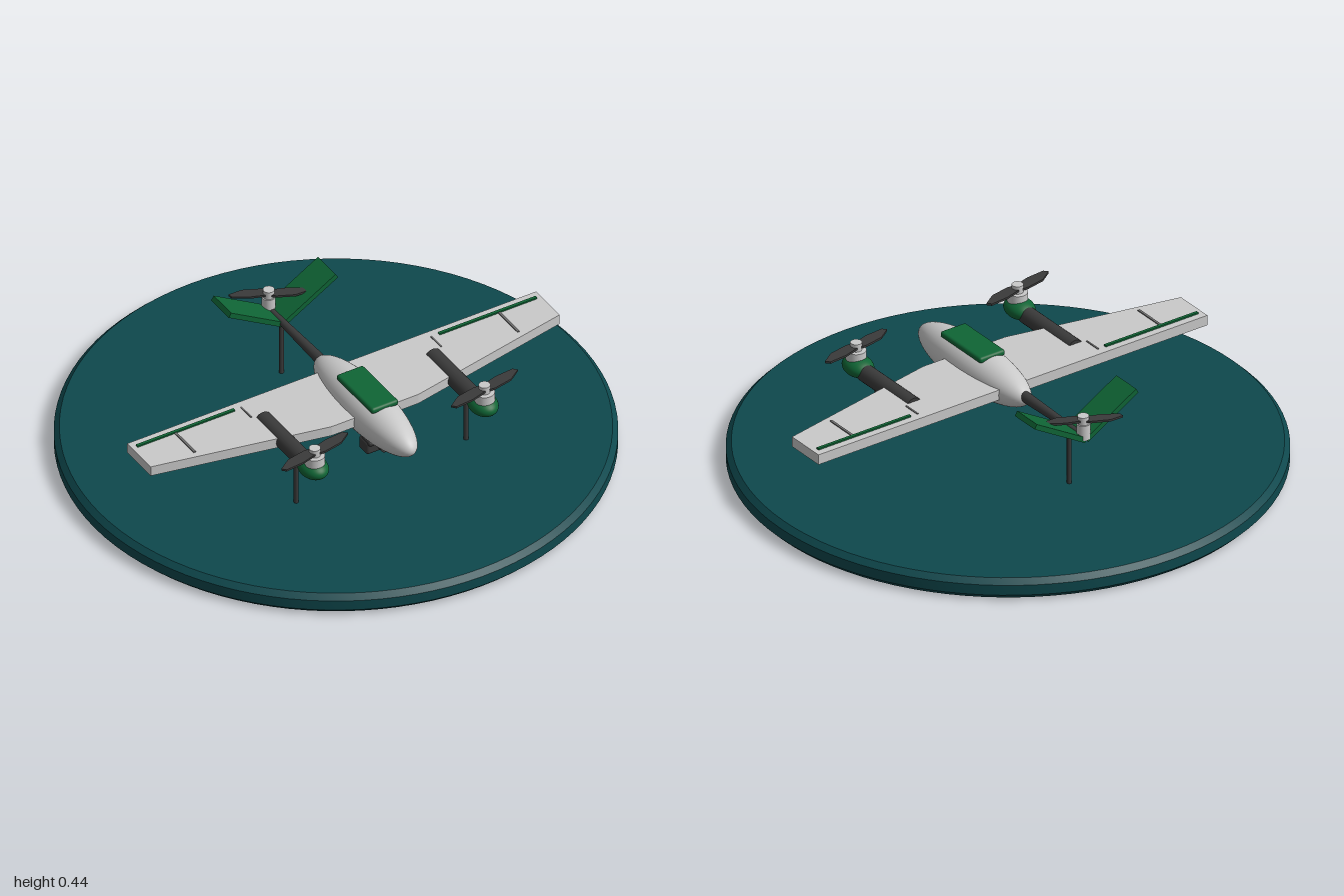
import * as THREE from 'three';
import { toCreasedNormals } from 'three/addons/utils/BufferGeometryUtils.js';
import { RoundedBoxGeometry } from 'three/addons/geometries/RoundedBoxGeometry.js';

const mat = (name, color, extra = {}) => {
  const m = new THREE.MeshStandardMaterial({ color, ...extra });
  m.name = name;
  return m;
};

export function createModel() {
  const root = new THREE.Group();
  root.name = 'drone';
  const teal = mat('standTeal', 0x0e484d);
  const white = mat('bodyGrey', 0xcacaca);
  const green = mat('trimGreen', 0x0f6535);
  const dark = mat('carbonDark', 0x3a3a3a);
  const seam = mat('seamGrey', 0x707070);
  const lensBlue = mat('lensBlue', 0x1c3a50);

  const add = (name, geo, material, x = 0, y = 0, z = 0, parent = root) => {
    const m = new THREE.Mesh(geo, material);
    m.name = name;
    m.position.set(x, y, z);
    parent.add(m);
    return m;
  };
  const ellipsoid = (rx, ry, rz) => new THREE.SphereGeometry(1, 40, 28).rotateX(Math.PI / 2).scale(rx, ry, rz);
  // Cylinder along z, rFront at the +z end
  const rod = (rFront, rBack, len) => new THREE.CylinderGeometry(rFront, rBack, len, 24).rotateX(Math.PI / 2);
  // Flat plan outline given as [x, z], extruded to a thickness centred on y = 0
  const slab = (pts, thickness) => {
    const shape = new THREE.Shape(pts.map(([x, z]) => new THREE.Vector2(x, z)));
    return new THREE.ExtrudeGeometry(shape, { depth: thickness, bevelEnabled: false })
      .rotateX(Math.PI / 2).translate(0, thickness / 2, 0);
  };

  // Round stand with bevelled rims
  const rim = [[0, 0], [0.98, 0], [1, 0.02], [1, 0.06], [0.98, 0.08], [0, 0.08]];
  const disc = new THREE.LatheGeometry(rim.map(([r, y]) => new THREE.Vector2(r, y)), 96);
  add('stand', toCreasedNormals(disc, 0.4), teal);

  // Fuselage, tail boom and hatch
  add('fuselage', ellipsoid(0.09, 0.088, 0.32), white, 0, 0.298, 0.2);
  add('tailBoom', rod(0.021, 0.012, 0.37), dark, 0, 0.307, -0.265);
  add('hatch', new RoundedBoxGeometry(0.112, 0.024, 0.245, 3, 0.01), green, 0, 0.378, 0.213);

  // Wing
  add('wing', slab([[-0.85, -0.03], [0.85, -0.03], [0.85, 0.13], [0.18, 0.265],
    [-0.18, 0.265], [-0.85, 0.13]], 0.04), white, 0, 0.3, 0);

  // Propeller: two swept blades and a hub
  const half = [[-0.005, 0.018], [-0.07, 0.037], [-0.143, 0.043], [-0.156, 0.028],
    [-0.107, -0.006], [-0.032, -0.021]];
  const bladeGeo = slab([...half, ...half.map(([x, z]) => [-x, -z])], 0.008);
  const hubGeo = new THREE.CylinderGeometry(0.021, 0.021, 0.03, 20);

  const rotor = (name, x, y, z, turn, scale, motorR, motorH) => {
    const g = new THREE.Group();
    g.name = name;
    g.position.set(x, y, z);
    root.add(g);
    add('motor', new THREE.CylinderGeometry(motorR, motorR, motorH, 28), white, 0, -0.014 - motorH / 2, 0, g);
    add('hub', hubGeo, white, 0, 0.002, 0, g);
    const blades = add('blades', bladeGeo, dark, 0, 0, 0, g);
    blades.rotation.y = turn;
    blades.scale.set(scale, 1, scale);
  };

  for (const s of [-1, 1]) {
    const side = s > 0 ? 'left' : 'right';

    // Motor arms, nacelles and rotors
    add(side + 'MotorArm', rod(0.033, 0.033, 0.3), dark, s * 0.353, 0.301, 0.23);
    add(side + 'Nacelle', ellipsoid(0.052, 0.037, 0.068), green, s * 0.353, 0.31, 0.418);
    rotor(side + 'Rotor', s * 0.353, 0.384, 0.43, 0, 1, 0.037, 0.04);

    // Wing trim strips and seams
    add(side + 'WingStripe', new THREE.BoxGeometry(0.405, 0.008, 0.012), green, s * 0.628, 0.322, 0.003);
    add(side + 'OuterSeam', new THREE.BoxGeometry(0.009, 0.006, 0.14), seam, s * 0.673, 0.321, 0.07);
    add(side + 'InnerSeam', new THREE.BoxGeometry(0.006, 0.004, 0.07), seam, s * 0.395, 0.321, 0.035);

    // V-tail panel
    const tail = add(side + 'TailPanel', new THREE.BoxGeometry(0.255, 0.02, 0.12), green, s * 0.112, 0.365, -0.415);
    tail.rotation.z = s * 0.53;

    // Front support leg
    add(side + 'FrontLeg', new THREE.CylinderGeometry(0.009, 0.009, 0.22, 16), dark, s * 0.353, 0.18, 0.305);
  }

  // Rear leg and rotor
  add('rearLeg', new THREE.CylinderGeometry(0.009, 0.009, 0.24, 16), dark, 0, 0.19, -0.37);
  rotor('rearRotor', 0, 0.376, -0.455, -0.64, 0.9, 0.025, 0.06);

  // Belly camera
  const camera = new THREE.Group();
  camera.name = 'camera';
  root.add(camera);
  add('cameraMount', new RoundedBoxGeometry(0.12, 0.02, 0.06, 2, 0.008), dark, 0, 0.226, 0.295, camera);
  add('cameraBody', new RoundedBoxGeometry(0.13, 0.055, 0.06, 3, 0.012), dark, 0, 0.203, 0.285, camera);
  add('lensBarrel', rod(0.024, 0.024, 0.04), dark, 0, 0.208, 0.32, camera);
  add('lens', rod(0.015, 0.015, 0.006), lensBlue, 0, 0.208, 0.342, camera);

  return root;
}
